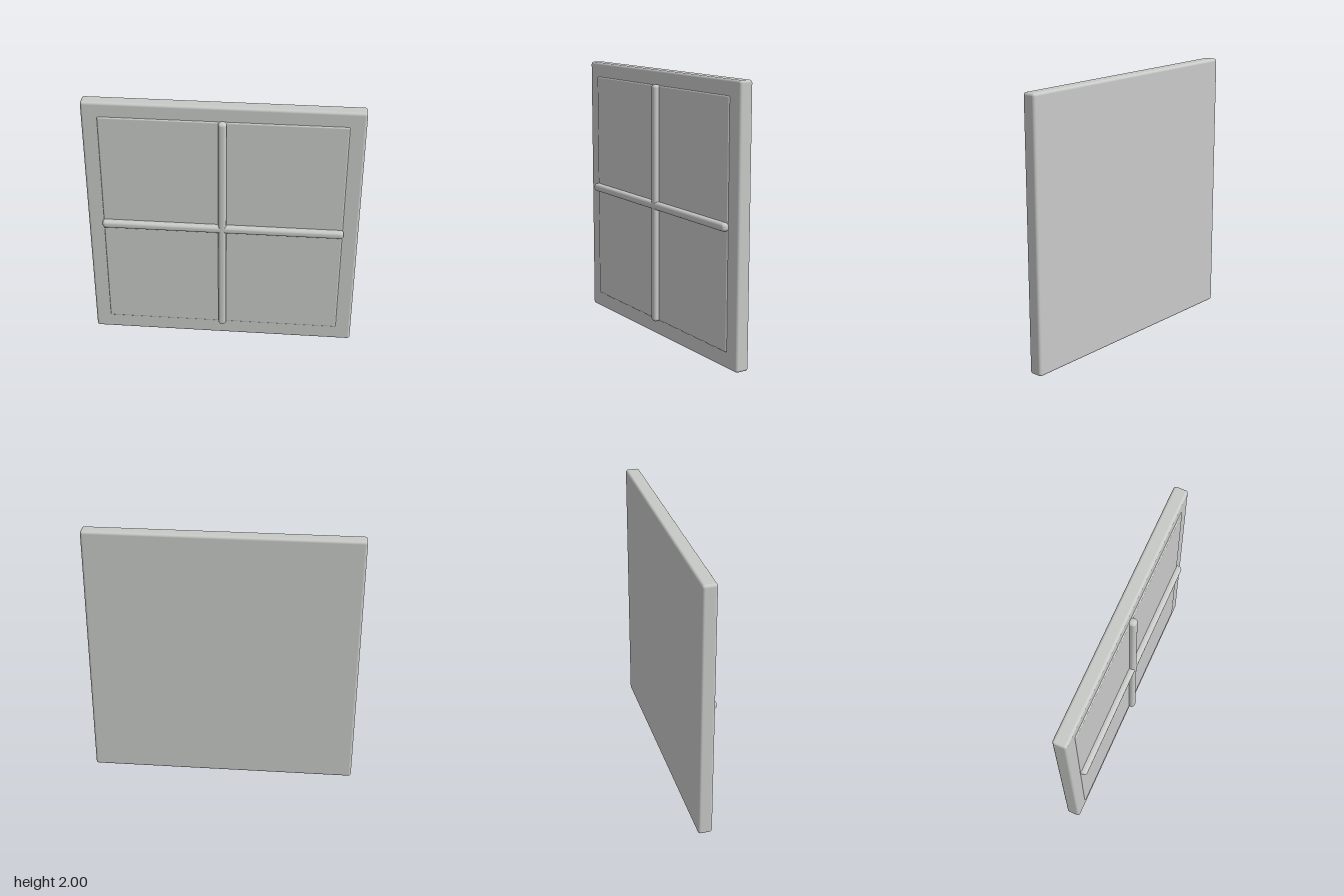
import * as THREE from 'three';
import { RoundedBoxGeometry } from 'three/addons/geometries/RoundedBoxGeometry.js';

export function createModel() {
  const model = new THREE.Group();
  model.name = 'windowPanel';
  const paleGrey = new THREE.MeshStandardMaterial({ color: 0xc8cac8 });
  paleGrey.name = 'paleGrey';

  // Rounded block spanning z0..z1, centred on x = 0
  function block(name, w, h, y, z0, z1, radius) {
    const mesh = new THREE.Mesh(new RoundedBoxGeometry(w, h, z1 - z0, 5, radius), paleGrey);
    mesh.name = name;
    mesh.position.set(0, y, (z0 + z1) / 2);
    model.add(mesh);
  }

  // Main slab with softened edges
  block('frame', 2, 2, 1, -0.077, 0.028, 0.02);
  // Slightly raised inner pane
  block('pane', 1.77, 1.77, 1.005, -0.02, 0.037, 0.012);
  // Crossing glazing bars
  block('verticalBar', 0.06, 1.785, 1.005, 0.018, 0.077, 0.024);
  block('horizontalBar', 1.785, 0.06, 1.005, 0.018, 0.077, 0.024);

  return model;
}
